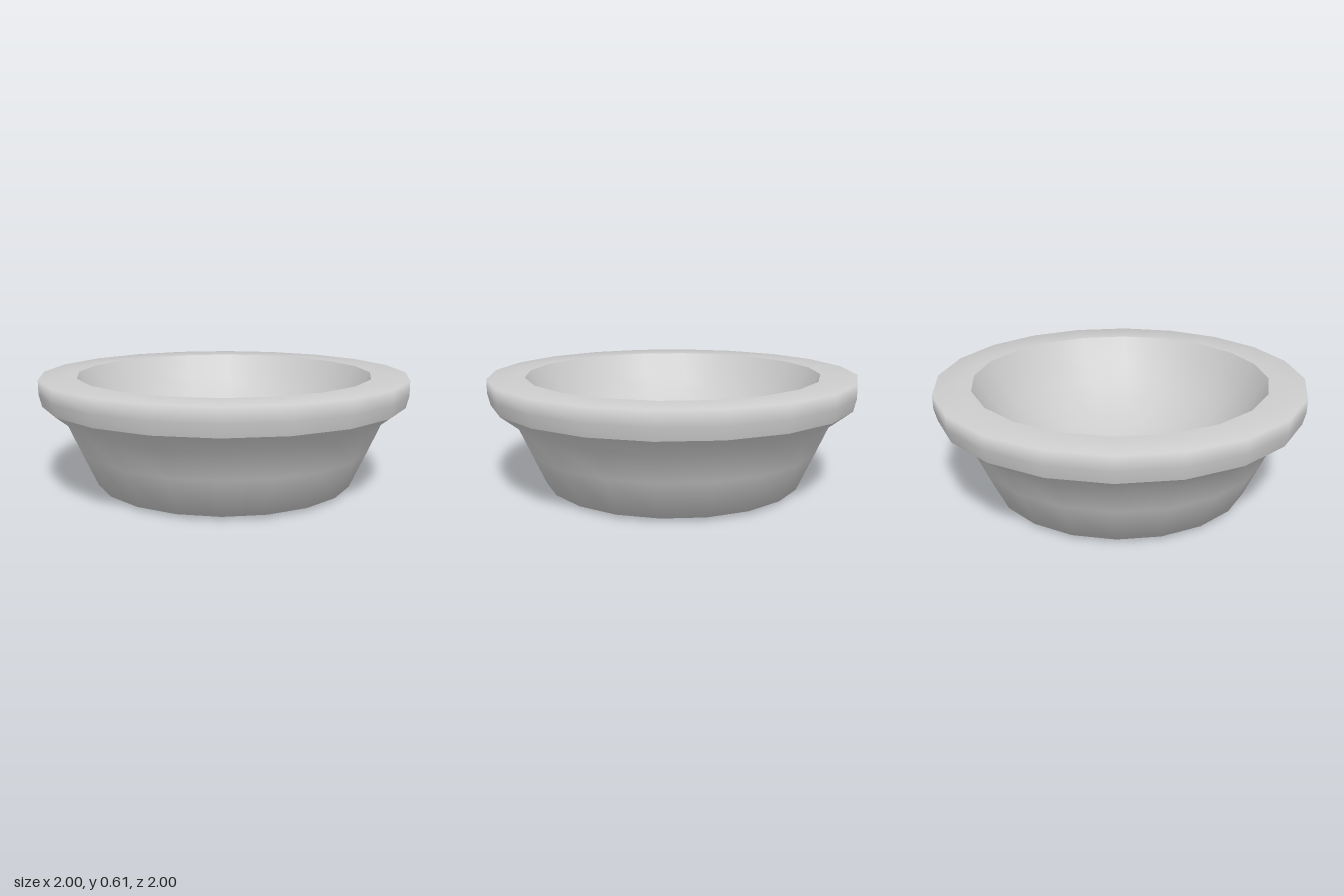
import * as THREE from 'three';

const SIDES = 20;
const RIM_Y = 0.605;
const HOLLOW_R = 0.803;
const HOLLOW_DEPTH = 0.5;

// Turned surface; the profile runs from the underside, outwards, over the rim and back in
function turned(name, profile, material) {
  const points = profile.map(([r, y]) => new THREE.Vector2(r, y));
  const mesh = new THREE.Mesh(new THREE.LatheGeometry(points, SIDES), material);
  mesh.name = name;
  return mesh;
}

// Profile of a spherical hollow, from its edge down to its centre
function hollowProfile(steps) {
  const radius = (HOLLOW_R ** 2 + HOLLOW_DEPTH ** 2) / (2 * HOLLOW_DEPTH);
  const edgeAngle = Math.asin(HOLLOW_R / radius);
  const profile = [];
  for (let i = 0; i <= steps; i++) {
    const angle = edgeAngle * (1 - i / steps);
    profile.push([radius * Math.sin(angle), RIM_Y - HOLLOW_DEPTH + radius * (1 - Math.cos(angle))]);
  }
  return profile;
}

export function createModel() {
  const group = new THREE.Group();
  group.name = 'bowl';
  const material = new THREE.MeshStandardMaterial({ color: 0xcccccc });

  // Base and outer wall, softly shaded across the foot, flaring under the rim
  group.add(turned('outerWall', [
    [0, 0], [0.71, 0.017], [0.8, 0.22], [0.865, 0.37], [0.985, 0.465],
  ], material));

  // Rim band running softly into the flat lip
  group.add(turned('rim', [
    [0.985, 0.465], [1, 0.53], [1, RIM_Y], [HOLLOW_R, RIM_Y],
  ], material));

  // Rounded hollow
  group.add(turned('hollow', hollowProfile(7), material));

  return group;
}
